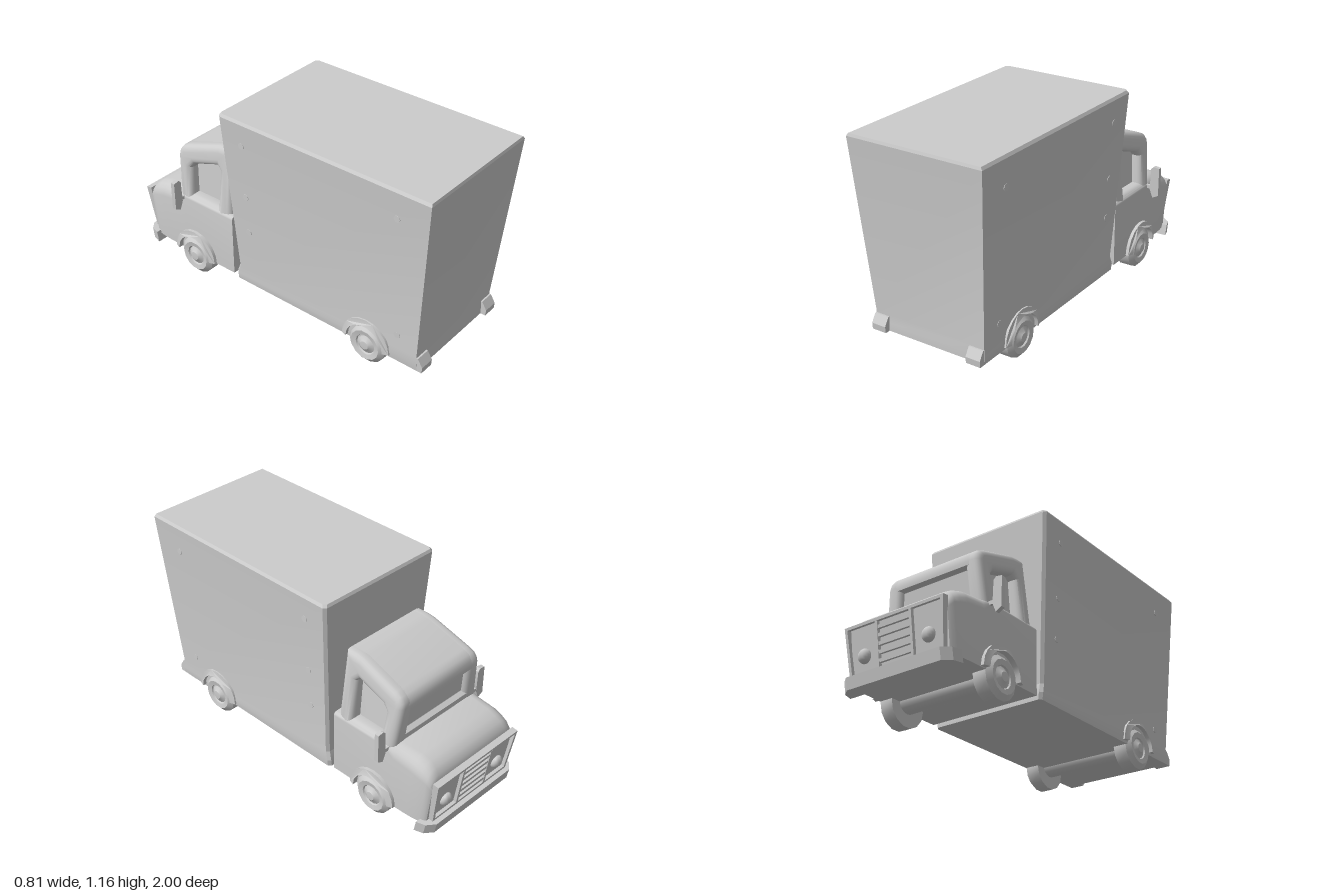
import * as THREE from 'three';
import { toCreasedNormals } from 'three/addons/utils/BufferGeometryUtils.js';

const material = new THREE.MeshStandardMaterial({ color: 0xcccccc });

function add(parent, name, geometry, crease = 0.6) {
  const mesh = new THREE.Mesh(toCreasedNormals(geometry, crease), material);
  mesh.name = name;
  parent.add(mesh);
  return mesh;
}

const vec = (pts) => pts.map(([a, b]) => new THREE.Vector2(a, b));

function shapeOf(pts, hole) {
  const shape = new THREE.Shape(vec(pts));
  if (hole) shape.holes.push(new THREE.Path(vec(hole)));
  return shape;
}

// Extrudes a (z, y) side profile across x, centred on x = cx
function sideExtrude(pts, cx, width, { hole, bevel = 0 } = {}) {
  const depth = width - 2 * bevel;
  return new THREE.ExtrudeGeometry(shapeOf(pts, hole), {
    depth, bevelEnabled: bevel > 0, bevelSize: bevel, bevelThickness: bevel,
    bevelOffset: -bevel, bevelSegments: 4,
  }).translate(0, 0, -depth / 2).rotateY(-Math.PI / 2).translate(cx, 0, 0);
}

// Skins closed rings of [x, y, z] points and caps both ends
function loft(rings) {
  const n = rings[0].length, index = [];
  for (let i = 0; i < rings.length - 1; i++) {
    for (let j = 0; j < n; j++) {
      const a = i * n + j, b = i * n + (j + 1) % n;
      index.push(a, b, b + n, a, b + n, a + n);
    }
  }
  const last = (rings.length - 1) * n;
  for (let j = 1; j < n - 1; j++) index.push(0, j + 1, j, last, last + j, last + j + 1);
  const geometry = new THREE.BufferGeometry();
  geometry.setAttribute('position', new THREE.Float32BufferAttribute(rings.flat(2), 3));
  geometry.setIndex(index);
  geometry.computeVertexNormals();
  return geometry;
}

function moveVertices(geometry, rule) {
  const p = geometry.attributes.position, v = new THREE.Vector3();
  for (let i = 0; i < p.count; i++) {
    rule(v.fromBufferAttribute(p, i));
    p.setXYZ(i, v.x, v.y, v.z);
  }
  return geometry;
}

function cargoBox(truck) {
  // [y, half width, rear z, front z]
  const levels = [
    [0.11, 0.335, 0.935, -0.28], [0.15, 0.34, 0.935, -0.28], [0.2, 0.335, 0.93, -0.265],
    [1.145, 0.395, 1.0, -0.31], [1.16, 0.385, 0.995, -0.302],
  ];
  const c = 0.015;
  add(truck, 'cargoBox', loft(levels.map(([y, w, r, f]) => [
    [w, y, r], [w, y, f + c], [w - c, y, f], [-w + c, y, f], [-w, y, f + c], [-w, y, r],
  ])), 0.3);
  for (const s of [-1, 1]) {
    // Small round fixings on the box sides
    for (const [z, y] of [[-0.16, 1.02], [-0.16, 0.7], [-0.16, 0.47], [0.81, 1.0], [0.81, 0.28]]) {
      const w = 0.335 + (y - 0.2) * 0.0635;
      const stud = add(truck, 'sideFixing', new THREE.CylinderGeometry(0.018, 0.018, 0.006, 10));
      stud.rotation.z = Math.PI / 2;
      stud.position.set(s * w, y, z);
    }
    const bumper = [[0.9, 0.19], [0.94, 0.19], [0.968, 0.145], [0.965, 0.11], [0.9, 0.11]];
    add(truck, 'rearBumperBlock', sideExtrude(bumper, s * 0.293, 0.085));
  }
}

function cabBody(truck) {
  // [z, top y, half width, shoulder radius]
  const stations = [
    [-0.305, 0.49, 0.33, 0.02], [-0.66, 0.49, 0.33, 0.02], [-0.72, 0.495, 0.33, 0.07],
    [-0.84, 0.488, 0.328, 0.08], [-0.89, 0.472, 0.325, 0.08], [-0.925, 0.45, 0.32, 0.07],
    [-0.948, 0.42, 0.315, 0.06], [-0.96, 0.385, 0.305, 0.04],
  ];
  const body = loft(stations.map(([z, top, w, r]) => {
    const ring = [[-w, 0.12, z]];
    for (const s of [-1, 1]) {
      for (let i = 0; i <= 5; i++) {
        const a = (s < 0 ? 5 - i : i) / 5 * Math.PI / 2;
        ring.push([s * (w - r + r * Math.sin(a)), top - r + r * Math.cos(a), z]);
      }
    }
    return [...ring, [w, 0.12, z]];
  }));
  // Lean the nose back toward the bottom
  moveVertices(body, (v) => { if (v.z < -0.8) v.z += Math.max(0, 0.385 - v.y) * 0.12; });
  add(truck, 'cabBody', body, 0.75);

  // Upper cab: a core holding the glass, and side walls with window openings
  const taper = (v) => { v.x *= 1 - Math.max(0, v.y - 0.47) * 0.38; };
  const roof = [[-0.335, 0.868], [-0.4, 0.868], [-0.44, 0.862], [-0.67, 0.785], [-0.705, 0.768], [-0.725, 0.74]];
  const core = [[-0.32, 0.38], ...roof, [-0.73, 0.71], [-0.728, 0.69], [-0.7, 0.68],
    [-0.685, 0.54], [-0.71, 0.525], [-0.7, 0.38]];
  const wall = [[-0.32, 0.38], ...roof, [-0.73, 0.71], [-0.7, 0.38]];
  const opening = [[-0.42, 0.5], [-0.42, 0.725], [-0.44, 0.745], [-0.605, 0.69],
    [-0.63, 0.66], [-0.615, 0.5]];
  add(truck, 'cabCore', moveVertices(sideExtrude(core, 0, 0.53), taper));
  for (const s of [-1, 1]) {
    const side = sideExtrude(wall, s * 0.277, 0.104, { hole: opening, bevel: 0.035 });
    add(truck, 'cabSideWall', moveVertices(side, taper));

    // Wing mirror on a short arm
    const plate = [[0.355, 0.585], [0.37, 0.6], [0.405, 0.595], [0.405, 0.43], [0.37, 0.412], [0.35, 0.46]];
    const mirror = new THREE.ExtrudeGeometry(shapeOf(plate.map(([x, y]) => [x * s, y])),
      { depth: 0.025, bevelEnabled: false });
    add(truck, 'wingMirror', mirror.translate(0, 0, -0.685));
    const arm = add(truck, 'mirrorArm', new THREE.BoxGeometry(0.06, 0.02, 0.015));
    arm.position.set(s * 0.335, 0.47, -0.675);
  }
}

function nose(truck) {
  const grille = new THREE.Group();
  grille.name = 'grille';
  grille.position.set(0, 0.27, -0.965);
  grille.rotation.x = -0.15;
  truck.add(grille);
  const outer = [[-0.29, -0.13], [0.29, -0.13], [0.31, 0.13], [-0.31, 0.13]];
  const inner = [[-0.275, -0.115], [0.275, -0.115], [0.293, 0.115], [-0.293, 0.115]];
  const frame = new THREE.ExtrudeGeometry(shapeOf(outer, inner), { depth: 0.035, bevelEnabled: false });
  add(grille, 'grilleFrame', frame.translate(0, 0, -0.012));
  const panel = add(grille, 'grillePanel', new THREE.BoxGeometry(0.57, 0.24, 0.02));
  panel.position.z = 0.016;
  for (let i = 0; i < 5; i++) {
    const slat = add(grille, 'grilleSlat', new THREE.BoxGeometry(0.2, 0.018, 0.02));
    slat.position.set(0, -0.084 + i * 0.042, 0);
  }
  for (const s of [-1, 1]) {
    const post = add(grille, 'grillePost', new THREE.BoxGeometry(0.015, 0.235, 0.025));
    post.position.set(s * 0.107, 0, 0);
    const lamp = add(grille, 'headlight', new THREE.SphereGeometry(0.038, 14, 10), 1);
    lamp.scale.z = 0.75;
    lamp.position.set(s * 0.2, -0.035, 0.002);
  }
  // Front bumper wrapping around the corners
  const half = [[0.35, -0.9], [0.335, -0.95], [0.29, -0.985]];
  const plan = [[-0.3, -0.9], ...half.map(([x, z]) => [-x, z]), ...half.reverse(), [0.3, -0.9]];
  const bumper = new THREE.ExtrudeGeometry(shapeOf(plan), { depth: 0.062, bevelEnabled: false })
    .rotateX(Math.PI / 2).translate(0, 0.14, 0);
  moveVertices(bumper, (v) => { if (v.y < 0.1) v.z += 0.012; });
  add(truck, 'frontBumper', bumper, 0.3);
}

function runningGear(truck) {
  const tyre = vec([[0, -0.04], [0.115, -0.04], [0.115, 0.035], [0.088, 0.058],
    [0.06, 0.052], [0.055, 0.044], [0.034, 0.054], [0.025, 0.062], [0, 0.064]]);
  // Half-ring mudguard profile
  const arch = (z) => {
    const pts = [];
    for (let i = 0; i <= 20; i++) {
      const a = (i <= 10 ? i : 20.5 - i) / 10 * Math.PI, r = i <= 10 ? 0.15 : 0.117;
      const b = i <= 10 ? a : (20 - i) / 9 * Math.PI;
      pts.push([z + r * Math.cos(b), 0.125 + r * Math.sin(b)]);
    }
    return pts;
  };
  for (const z of [0.62, -0.59]) {
    const axle = add(truck, 'axle', new THREE.CylinderGeometry(0.06, 0.06, 0.54, 16));
    axle.rotation.z = Math.PI / 2;
    axle.position.set(0, 0.13, z);
    for (const s of [-1, 1]) {
      const wheel = add(truck, 'wheel', new THREE.LatheGeometry(tyre, 14), 0.5);
      wheel.rotation.z = -s * Math.PI / 2;
      wheel.position.set(s * 0.293, 0.115, z);
      // Mudguard flares outward, then tucks in along its outer rim
      const guard = moveVertices(sideExtrude(arch(z), s * 0.325, 0.07), (v) => {
        if (Math.abs(v.x) > 0.33 && Math.hypot(v.z - z, v.y - 0.125) > 0.14) v.x -= s * 0.012;
      });
      add(truck, 'mudguard', guard);
    }
  }
}

export function createModel() {
  const truck = new THREE.Group();
  truck.name = 'boxTruck';
  cargoBox(truck);
  cabBody(truck);
  nose(truck);
  runningGear(truck);
  return truck;
}
